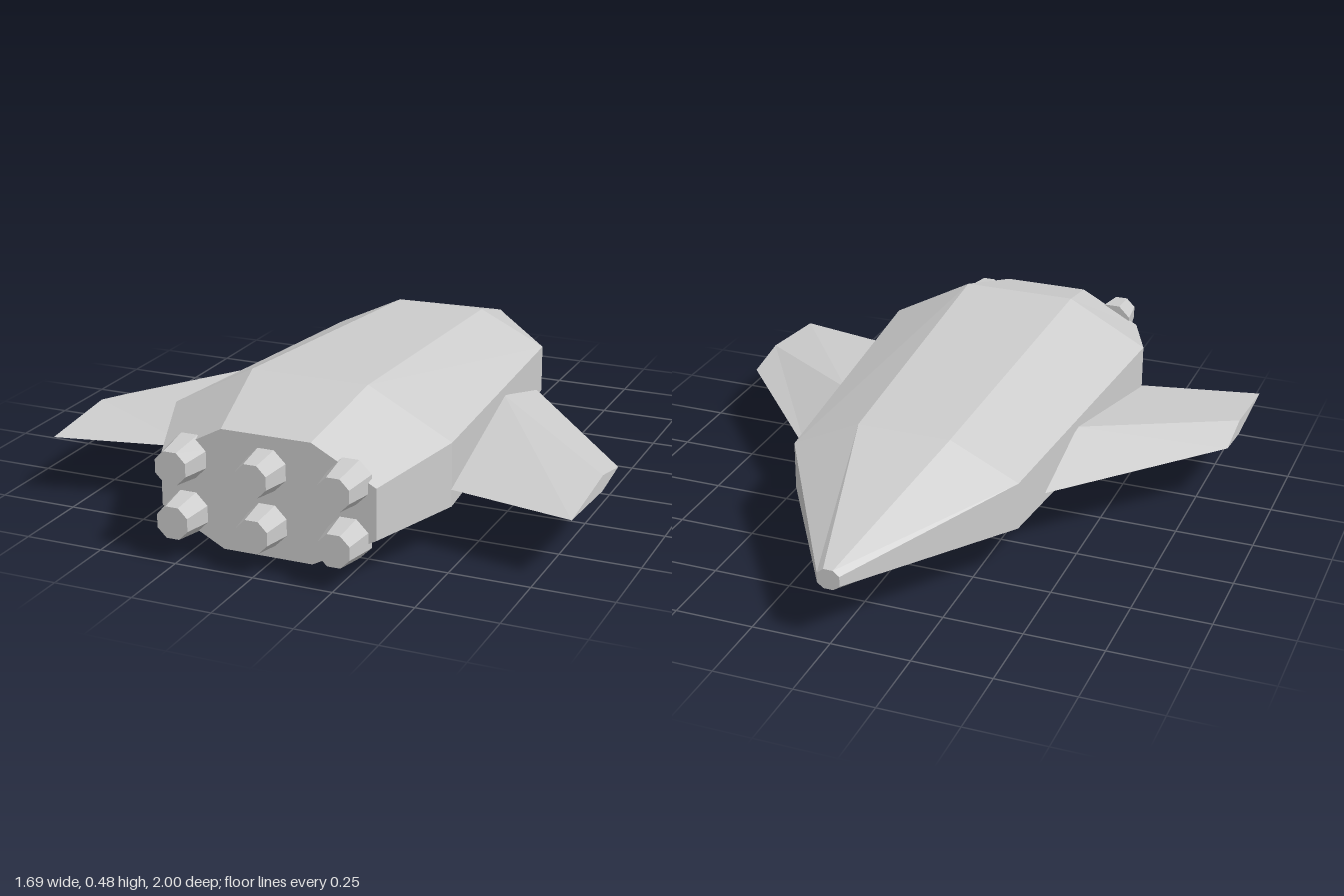
import * as THREE from 'three';

const hullGrey = new THREE.MeshStandardMaterial({ color: 0xcccccc, flatShading: true });
hullGrey.name = 'hullGrey';

// Closed skin over rings of points; rings run counter-clockwise seen from the last ring's end
function loft(rings) {
  const out = [];
  const tri = (a, b, c) => out.push(...a, ...b, ...c);
  const n = rings[0].length;
  for (let r = 0; r < rings.length - 1; r++) {
    const a = rings[r], b = rings[r + 1];
    for (let i = 0; i < n; i++) {
      const j = (i + 1) % n;
      tri(a[i], a[j], b[j]);
      tri(a[i], b[j], b[i]);
    }
  }
  const first = rings[0], last = rings[rings.length - 1];
  for (let i = 1; i < n - 1; i++) {
    tri(first[0], first[i + 1], first[i]);
    tri(last[0], last[i], last[i + 1]);
  }
  const geo = new THREE.BufferGeometry();
  geo.setAttribute('position', new THREE.Float32BufferAttribute(out, 3));
  geo.computeVertexNormals();
  return geo;
}

// Eight-sided hull section: half width, flat half width, and the four heights
function hullRing(z, w, flat, y0, y1, y2, y3) {
  return [
    [w, y1, z], [w, y2, z], [flat, y3, z], [-flat, y3, z],
    [-w, y2, z], [-w, y1, z], [-flat, y0, z], [flat, y0, z],
  ];
}

// Diamond wing section at x: leading edge, ridge and trailing edge
function wingRing(x, zLead, yLead, zRidge, yTop, yBottom, zTrail, yTrail) {
  return [[x, yTop, zRidge], [x, yTrail, zTrail], [x, yBottom, zRidge], [x, yLead, zLead]];
}

export function createModel() {
  const model = new THREE.Group();
  model.name = 'spaceship';
  const add = (geo, name) => {
    const mesh = new THREE.Mesh(geo, hullGrey);
    mesh.name = name;
    model.add(mesh);
    return mesh;
  };

  // Faceted hull from pointed nose to engine plate
  add(loft([
    hullRing(-1, 0.035, 0.015, 0.185, 0.2, 0.232, 0.248),
    hullRing(-0.435, 0.37, 0.15, 0.055, 0.162, 0.316, 0.422),
    hullRing(0.605, 0.452, 0.188, 0.003, 0.145, 0.344, 0.485),
    hullRing(0.9, 0.342, 0.142, 0.028, 0.135, 0.293, 0.4),
  ]), 'hull');

  // Swept wings, mirrored left and right
  const wing = [
    wingRing(0.404, -0.285, 0.215, 0.03, 0.298, 0.157, 0.6, 0.2),
    wingRing(0.845, 0.245, 0.2, 0.4, 0.23, 0.18, 0.69, 0.2),
  ];
  add(loft(wing), 'leftWing');
  add(loft(wing.map(ring => ring.map(([x, y, z]) => [-x, y, z]).reverse())), 'rightWing');

  // Two rows of three tapered eight-sided engine nozzles
  const nozzle = new THREE.CylinderGeometry(0.053, 0.07, 0.12, 8);
  nozzle.rotateY(Math.PI / 8);
  nozzle.rotateX(Math.PI / 2);
  for (const y of [0.129, 0.298]) {
    for (const x of [-0.255, 0, 0.255]) {
      add(nozzle, 'engineNozzle').position.set(x, y, 0.94);
    }
  }
  return model;
}
